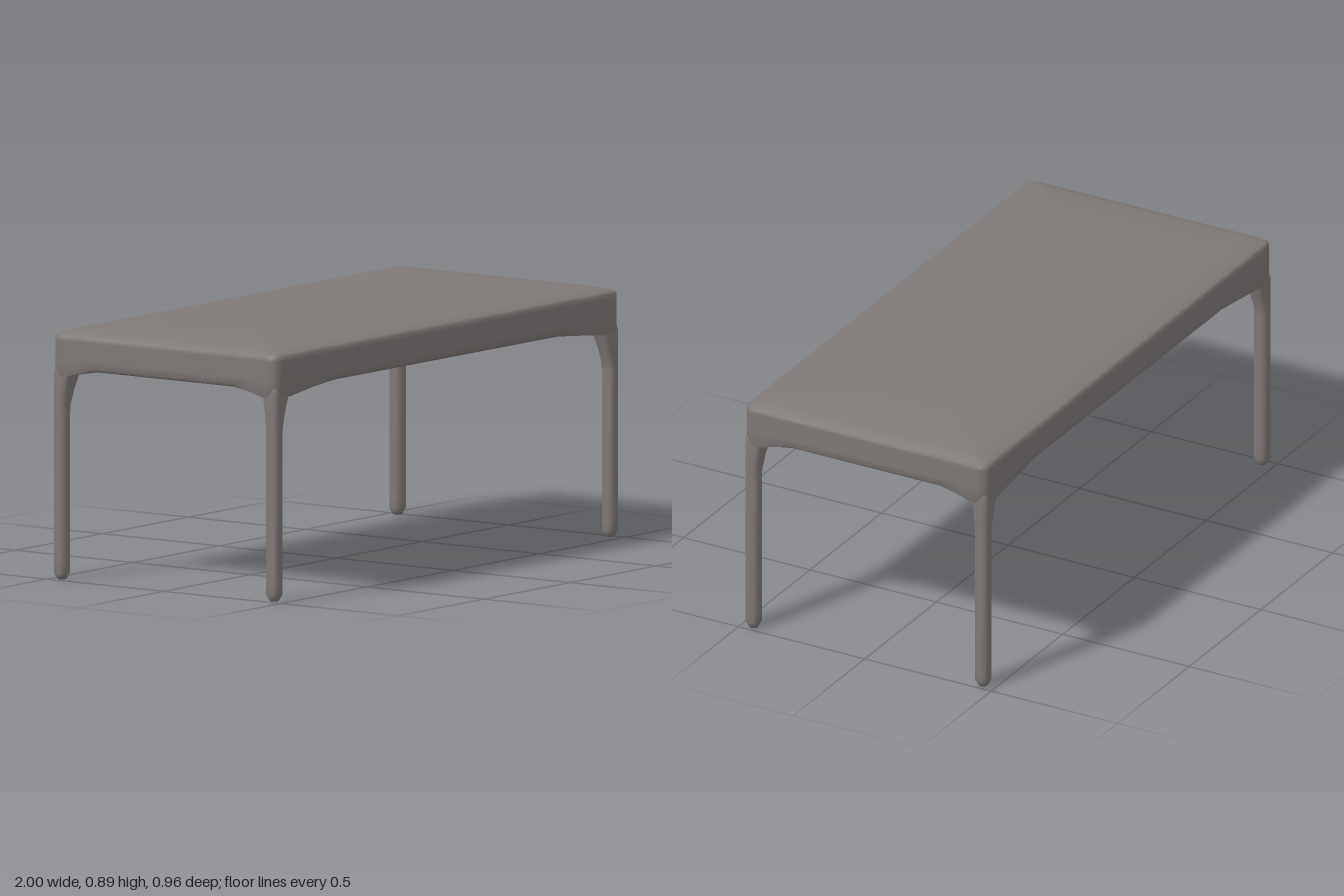
import * as THREE from 'three';

const HX = 1, HZ = 0.48; // half size of the table top

// Rounded rectangle as [x, z] points, with extra points along the long and short edges
function outline(hx, hz, r, edgeX = [], edgeZ = []) {
  const pts = [];
  const corner = (sx, sz, start) => {
    for (let i = 0; i <= 4; i++) {
      const a = start + (i / 4) * Math.PI / 2;
      pts.push([sx * (hx - r) + r * Math.cos(a), sz * (hz - r) + r * Math.sin(a)]);
    }
  };
  corner(1, 1, 0);
  edgeX.forEach(x => pts.push([x, hz]));
  corner(-1, 1, Math.PI / 2);
  edgeZ.forEach(z => pts.push([-hx, z]));
  corner(-1, -1, Math.PI);
  edgeX.forEach(x => pts.push([-x, -hz]));
  corner(1, -1, Math.PI * 1.5);
  edgeZ.forEach(z => pts.push([hx, -z]));
  return pts;
}

// Smooth skin over rings of [x, y, z] points, ordered from bottom to top
function loft(rings) {
  const n = rings[0].length, index = [];
  for (let i = 0; i < rings.length - 1; i++) {
    for (let j = 0; j < n; j++) {
      const a = i * n + j, b = i * n + (j + 1) % n;
      index.push(a, a + n, b, b, a + n, b + n);
    }
  }
  const geo = new THREE.BufferGeometry();
  geo.setAttribute('position', new THREE.Float32BufferAttribute(rings.flat(2), 3));
  geo.setIndex(index);
  geo.computeVertexNormals();
  return geo;
}

// 0 along the edges, 1 near the four corners
function cornerWeight(x, z) {
  const cx = THREE.MathUtils.clamp((Math.abs(x) - 0.66) / 0.25, 0, 1);
  const cz = THREE.MathUtils.clamp((Math.abs(z) - 0.3) / 0.12, 0, 1);
  return Math.min(cx, cz);
}

// Slab with a gently domed top and an underside that dips towards the legs
function tableTopGeometry() {
  const base = outline(HX, HZ, 0.035,
    [0.91, 0.79, 0.66, 0.33, 0, -0.33, -0.66, -0.79, -0.91],
    [0.42, 0.36, 0.3, 0.15, 0, -0.15, -0.3, -0.36, -0.42]);
  const ring = (inset, height) => base.map(([px, pz]) => {
    const x = px * (HX - inset) / HX, z = pz * (HZ - inset) / HZ;
    return [x, height(x, z), z];
  });
  const under = (x, z) => 0.735 - 0.025 * cornerWeight(x, z);
  const rings = [0.48, 0.3, 0.18, 0.12, 0.06, 0.012].map(d => ring(d, under));
  rings.push(ring(0, (x, z) => under(x, z) + 0.01 * (1 - cornerWeight(x, z))));
  rings.push(ring(0, () => 0.77));
  const top = [[0, 0.835], [0, 0.85], [0.01, 0.858], [0.05, 0.87], [0.18, 0.882], [0.48, 0.886]];
  top.forEach(([d, y]) => rings.push(ring(d, () => y)));
  return loft(rings);
}

// Slim rounded leg: outer faces stay flush, inner faces flare into the slab
function legGeometry(sx, sz) {
  const w = 0.052;
  // y, inset on all sides, inner flare in x, inner flare in z
  const profile = [
    [0, 0.0259, 0, 0], [0.002, 0.011, 0, 0], [0.01, 0.006, 0, 0], [0.025, 0, 0, 0],
    [0.06, 0, 0, 0], [0.58, 0, 0, 0], [0.61, 0, 0.002, 0.001],
    [0.66, 0, 0.016, 0.006], [0.715, 0, 0.036, 0.014], [0.745, 0.005, 0.05, 0.025],
  ];
  return loft(profile.map(([y, inset, fx, fz]) => {
    const hx = (w + fx) / 2 - inset, hz = (w + fz) / 2 - inset;
    const cx = sx * (HX - (w + fx) / 2), cz = sz * (HZ - (w + fz) / 2);
    return outline(hx, hz, Math.min(0.02, hx, hz)).map(([x, z]) => [cx + x, y, cz + z]);
  }));
}

export function createModel() {
  const model = new THREE.Group();
  model.name = 'table';
  const grey = new THREE.MeshStandardMaterial({ color: 0x7f7977 });
  grey.name = 'warmGrey';

  const add = (name, geo) => {
    const mesh = new THREE.Mesh(geo, grey);
    mesh.name = name;
    model.add(mesh);
  };

  add('tableTop', tableTopGeometry());
  for (const sx of [-1, 1]) {
    for (const sz of [-1, 1]) {
      add((sz > 0 ? 'front' : 'back') + (sx > 0 ? 'Left' : 'Right') + 'Leg', legGeometry(sx, sz));
    }
  }
  return model;
}
